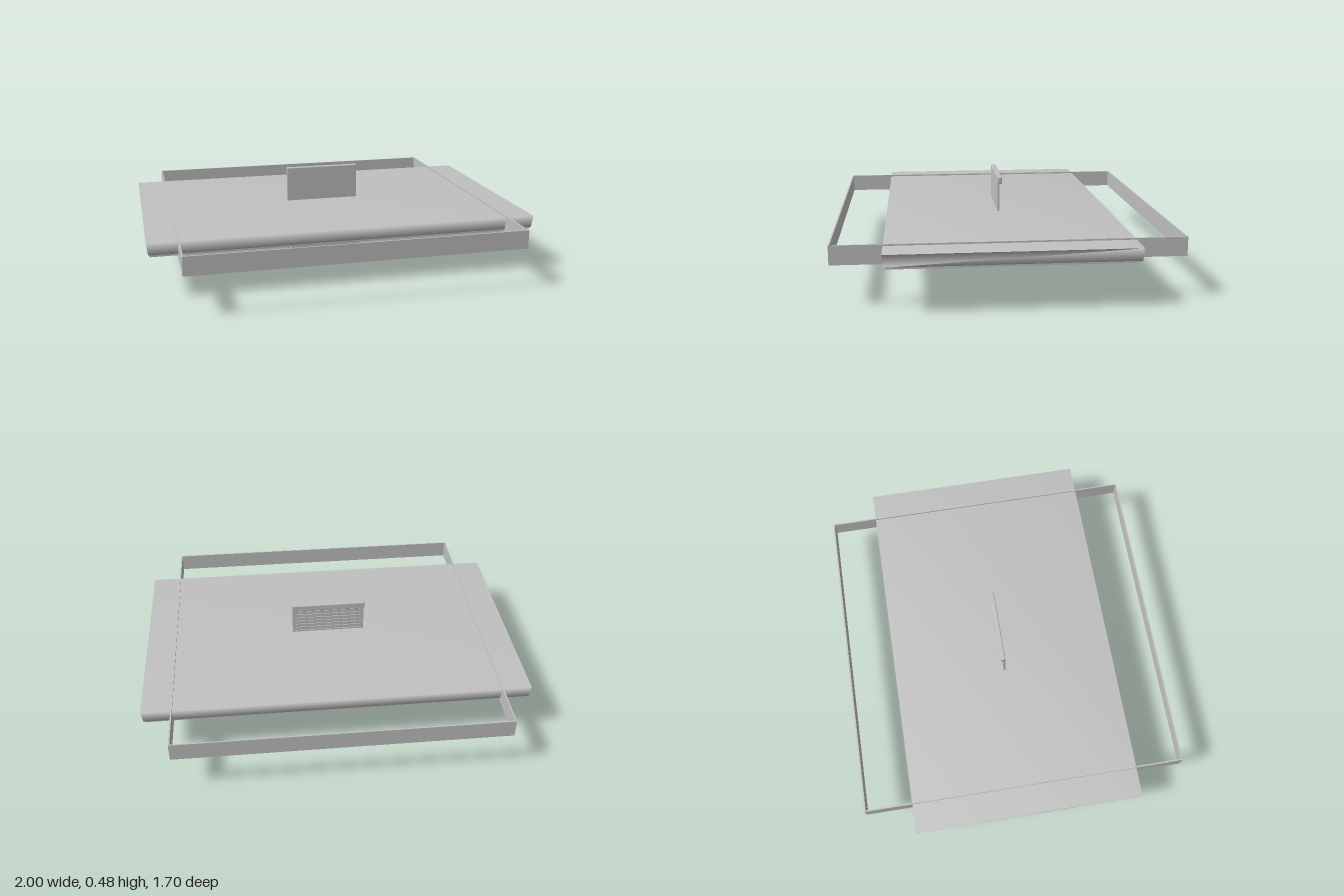
import * as THREE from 'three';
import { RoundedBoxGeometry } from 'three/addons/geometries/RoundedBoxGeometry.js';
import { mergeVertices } from 'three/addons/utils/BufferGeometryUtils.js';

export function createModel() {
  const model = new THREE.Group();
  model.name = 'tableWithFrame';
  const grey = new THREE.MeshStandardMaterial({ name: 'plain grey', color: 0xc0c0c0 });

  const add = (name, geometry, parent = model) => {
    const mesh = new THREE.Mesh(geometry, grey);
    mesh.name = name;
    parent.add(mesh);
    return mesh;
  };
  // Box given by its limits on each axis
  const box = (name, x0, x1, y0, y1, z0, z1, parent) => {
    const mesh = add(name, new THREE.BoxGeometry(x1 - x0, y1 - y0, z1 - z0), parent);
    mesh.position.set((x0 + x1) / 2, (y0 + y1) / 2, (z0 + z1) / 2);
    return mesh;
  };

  // Slab: sides draw in slightly towards the underside, normals shared at the edges
  const slabGeometry = new THREE.BoxGeometry(2, 0.062, 1.2);
  slabGeometry.deleteAttribute('normal');
  slabGeometry.deleteAttribute('uv');
  const slab = mergeVertices(slabGeometry);
  const p = slab.attributes.position;
  for (let i = 0; i < p.count; i++) {
    if (p.getY(i) < 0) p.setXYZ(i, p.getX(i) * 0.992, p.getY(i), p.getZ(i) * 0.99);
  }
  slab.computeVertexNormals();
  add('slab', slab).position.y = 0.266;
  box('slabUnderside', -0.985, 0.985, 0.224, 0.236, -0.588, 0.588);

  // Thin upright square frame around the slab
  const outline = new THREE.Shape();
  const hole = new THREE.Path();
  const square = (path, h) => path.moveTo(-h, -h).lineTo(h, -h).lineTo(h, h).lineTo(-h, h).closePath();
  square(outline, 0.85);
  square(hole, 0.843);
  outline.holes.push(hole);
  const frame = new THREE.ExtrudeGeometry(outline, { depth: 0.095, bevelEnabled: false });
  frame.rotateX(-Math.PI / 2);
  add('surroundFrame', frame).position.y = 0.21;

  // Upright back panel with a padded top rail
  const stand = new THREE.Group();
  stand.name = 'centreStand';
  model.add(stand);
  box('backPanel', -0.19, 0.19, 0.07, 0.45, -0.003, 0.003, stand);
  const rail = add('topRail', new RoundedBoxGeometry(0.4, 0.038, 0.025, 2, 0.005), stand);
  rail.position.set(0, 0.464, -0.0105);

  // Louvres on the rear of the panel
  for (let i = 0; i < 17; i++) {
    const y = 0.09 + i * 0.021;
    box('louvre', -0.18, 0.18, y, y + 0.008, -0.007, -0.003, stand);
  }

  // Front panel, lower tray bars
  box('frontPanel', -0.185, 0.185, 0.042, 0.215, 0.072, 0.078, stand);
  box('trayFront', -0.185, 0.185, 0.04, 0.047, 0.04, 0.078, stand);
  box('trayBack', -0.185, 0.185, 0.04, 0.047, -0.05, -0.035, stand);

  // Sides, legs and feet, mirrored
  for (const s of [-1, 1]) {
    const across = (name, a, b, ...rest) =>
      box(name, Math.min(s * a, s * b), Math.max(s * a, s * b), ...rest, stand);
    across('panelEdge', 0.19, 0.198, 0.07, 0.45, -0.008, 0.003);
    across('sidePanel', 0.183, 0.189, 0.042, 0.215, -0.048, 0.075);
    across('frontLeg', 0.183, 0.193, 0, 0.225, 0.072, 0.082);
    across('backLeg', 0.183, 0.193, 0, 0.225, -0.055, -0.045);
    across('footPlate', 0.185, 0.191, 0, 0.042, 0.037, 0.078);
    across('innerFoot', 0.108, 0.114, 0, 0.042, 0.037, 0.078);
  }
  return model;
}
